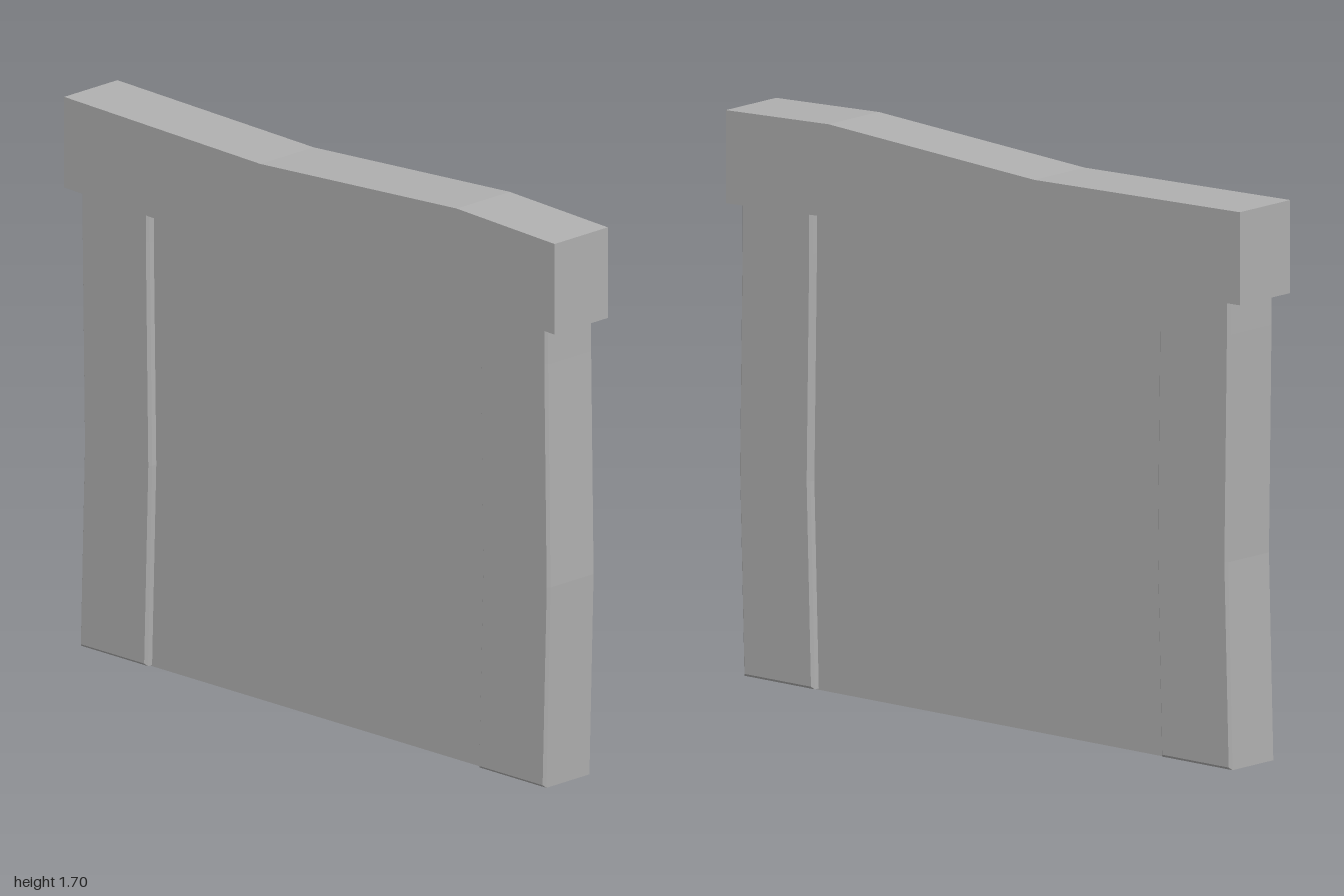
import * as THREE from 'three';

const stone = new THREE.MeshStandardMaterial({ color: 0xb0b0b0 });
stone.name = 'grey stone';

// Extrudes a front outline to a given depth, centred on z = 0
function slab(name, points, depth, bevel = 0) {
  const shape = new THREE.Shape(points.map(([x, y]) => new THREE.Vector2(x, y)));
  const geometry = new THREE.ExtrudeGeometry(shape, {
    depth: depth - 2 * bevel,
    bevelEnabled: bevel > 0,
    bevelThickness: bevel,
    bevelSize: bevel,
    bevelOffset: -bevel,
    bevelSegments: 1,
  });
  geometry.translate(0, 0, bevel - depth / 2);
  const mesh = new THREE.Mesh(geometry, stone);
  mesh.name = name;
  return mesh;
}

export function createModel() {
  const group = new THREE.Group();
  group.name = 'wall';

  // Recessed panel between the posts
  group.add(slab('panel', [[-0.8, 0], [0.8, 0], [0.8, 1.45], [0.6, 1.45], [-0.2, 1.42], [-0.8, 1.43]], 0.144));

  // Slightly bowed posts with chamfered edges
  const bow = [[-0.953, 0.004], [-0.936, 0.62], [-0.946, 1.3], [-0.946, 1.45]];
  const width = 0.274;
  for (const [name, shift] of [['rightPost', 0], ['leftPost', 1.625]]) {
    const outer = bow.map(([x, y]) => [x + shift, y]);
    const inner = outer.map(([x, y]) => [x + width, y]).reverse();
    group.add(slab(name, [...inner, ...outer], 0.194, 0.008));
  }

  // Wavy cap beam of constant height
  const crest = [[-1, 1.675], [-0.2, 1.653], [0.6, 1.7], [1, 1.683]];
  const underside = crest.map(([x, y]) => [x, y - 0.277]);
  group.add(slab('capBeam', [...underside, ...crest.slice().reverse()], 0.22));

  return group;
}
